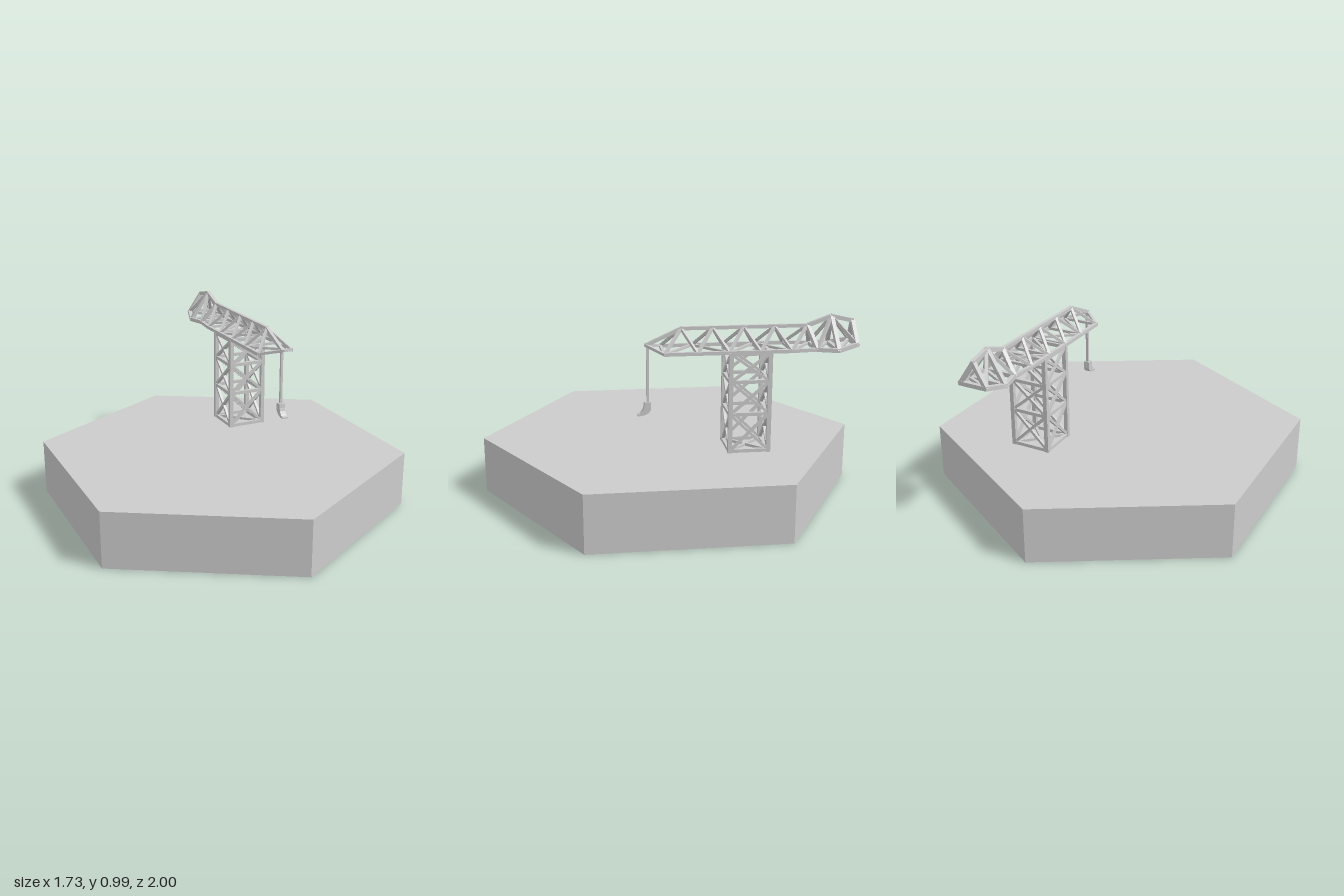
import * as THREE from 'three';
import { mergeGeometries } from 'three/addons/utils/BufferGeometryUtils.js';

const grey = new THREE.MeshStandardMaterial({ color: 0xcccccc, flatShading: true });
const P = (x, y, z) => new THREE.Vector3(x, y, z);

// square bar running from a to b
function bar(a, b, w) {
  const d = b.clone().sub(a);
  const g = new THREE.BoxGeometry(w, d.length() + w * 0.5, w);
  const side = Math.abs(d.y) > 0.999 * d.length() ? P(1, 0, 0) : P(0, 1, 0).cross(d).normalize();
  const dir = d.normalize();
  g.applyMatrix4(new THREE.Matrix4().makeBasis(side, dir, side.clone().cross(dir)));
  const m = a.clone().add(b).multiplyScalar(0.5);
  return g.translate(m.x, m.y, m.z);
}

function truss(name, bars) {
  const mesh = new THREE.Mesh(mergeGeometries(bars.map(([a, b, w]) => bar(a, b, w))), grey);
  mesh.name = name;
  return mesh;
}

// square lattice tower: legs, rings and crossed braces
function tower() {
  const bars = [], h = 0.1, levels = [0.31, 0.505, 0.675, 0.82];
  const corner = (i, y) => P(i % 4 === 0 || i % 4 === 3 ? h : -h, y, i % 4 < 2 ? h : -h);
  for (let i = 0; i < 4; i++) {
    bars.push([corner(i, 0.3), corner(i, 0.82), 0.022]);
    levels.forEach((y, k) => {
      bars.push([corner(i, y), corner(i + 1, y), 0.018]);
      if (k === 3) return;
      bars.push([corner(i, y), corner(i + 1, levels[k + 1]), 0.014]);
      bars.push([corner(i + 1, y), corner(i, levels[k + 1]), 0.014]);
    });
  }
  for (const i of [0, 1]) bars.push([corner(i, 0.31), corner(i + 2, 0.31), 0.014]);
  return truss('tower', bars);
}

// triangular boom: two lower chords, one upper ridge, zigzag webs and a pointed nose
function boom() {
  const bars = [], low = [0.435, 0.27, 0.11, -0.05, -0.21, -0.345], top = [0.34, 0.18, 0.02, -0.14, -0.31];
  const base = (i, s) => P(low[i], 0.828, s * (i === 5 ? 0.085 : 0.1));
  const ridge = i => P(top[i], 0.937, 0);
  const tip = P(0.52, 0.855, 0);
  for (let i = 0; i < low.length; i++) {
    bars.push([base(i, 1), base(i, -1), 0.014]);
    if (i < 5) bars.push([base(i, i % 2 ? 1 : -1), base(i + 1, i % 2 ? -1 : 1), 0.013]);
    if (i < 4) bars.push([ridge(i), ridge(i + 1), 0.018]);
    for (const s of [1, -1]) {
      if (i === 5) continue;
      bars.push([base(i, s), base(i + 1, s), 0.018]);
      bars.push([base(i, s), ridge(i), 0.014], [base(i + 1, s), ridge(i), 0.014]);
    }
  }
  bars.push([ridge(0), tip, 0.018], [base(0, 1), tip, 0.014], [base(0, -1), tip, 0.014]);
  return truss('boom', bars);
}

// swollen triangular cage at the rear of the boom
function counterweight() {
  const bars = [], w = 0.021;
  const rings = [
    { a: P(-0.31, 0.937, 0), u: -0.345, y: 0.828, v: 0.085 },
    { a: P(-0.435, 0.982, 0), u: -0.45, y: 0.824, v: 0.105 },
    { a: P(-0.545, 0.957, 0), u: -0.555, y: 0.845, v: 0.072 },
  ];
  const foot = (r, s) => P(r.u, r.y, r.v * s);
  rings.forEach((r, i) => {
    bars.push([foot(r, 1), foot(r, -1), w]);
    const n = rings[i + 1];
    if (n) bars.push([r.a, n.a, w], [foot(r, -1), foot(n, 1), 0.015]);
    for (const s of [1, -1]) {
      bars.push([r.a, foot(r, s), w]);
      if (!n) continue;
      bars.push([foot(r, s), foot(n, s), w]);
      bars.push([rings[1].a, foot(i ? n : r, s), 0.016]);
    }
  });
  return truss('counterweight', bars);
}

// curved hook hanging from the cable
function hook() {
  const s = new THREE.Shape();
  s.moveTo(-0.014, 0.56);
  s.lineTo(-0.016, 0.52);
  s.quadraticCurveTo(0.002, 0.485, 0.054, 0.487);
  s.lineTo(0.054, 0.495);
  s.quadraticCurveTo(0.018, 0.5, 0.018, 0.56);
  const g = new THREE.ExtrudeGeometry(s, { depth: 0.032, bevelEnabled: false, curveSegments: 5 });
  const mesh = new THREE.Mesh(g.translate(0.511, 0, -0.016), grey);
  mesh.name = 'hook';
  return mesh;
}

export function createModel() {
  const model = new THREE.Group();
  model.name = 'craneOnHexTile';

  // hexagonal ground slab with corners on the z axis
  const tile = new THREE.Mesh(new THREE.CylinderGeometry(1, 1, 0.3, 6), grey);
  tile.position.y = 0.15;
  tile.name = 'hexTile';

  const crane = new THREE.Group();
  crane.name = 'crane';
  crane.position.set(-0.175, 0, -0.435);
  crane.rotation.y = -Math.PI / 6;
  const cable = truss('cable', [[P(0.511, 0.86, 0), P(0.511, 0.55, 0), 0.013]]);
  crane.add(tower(), boom(), counterweight(), cable, hook());

  model.add(tile, crane);
  return model;
}
